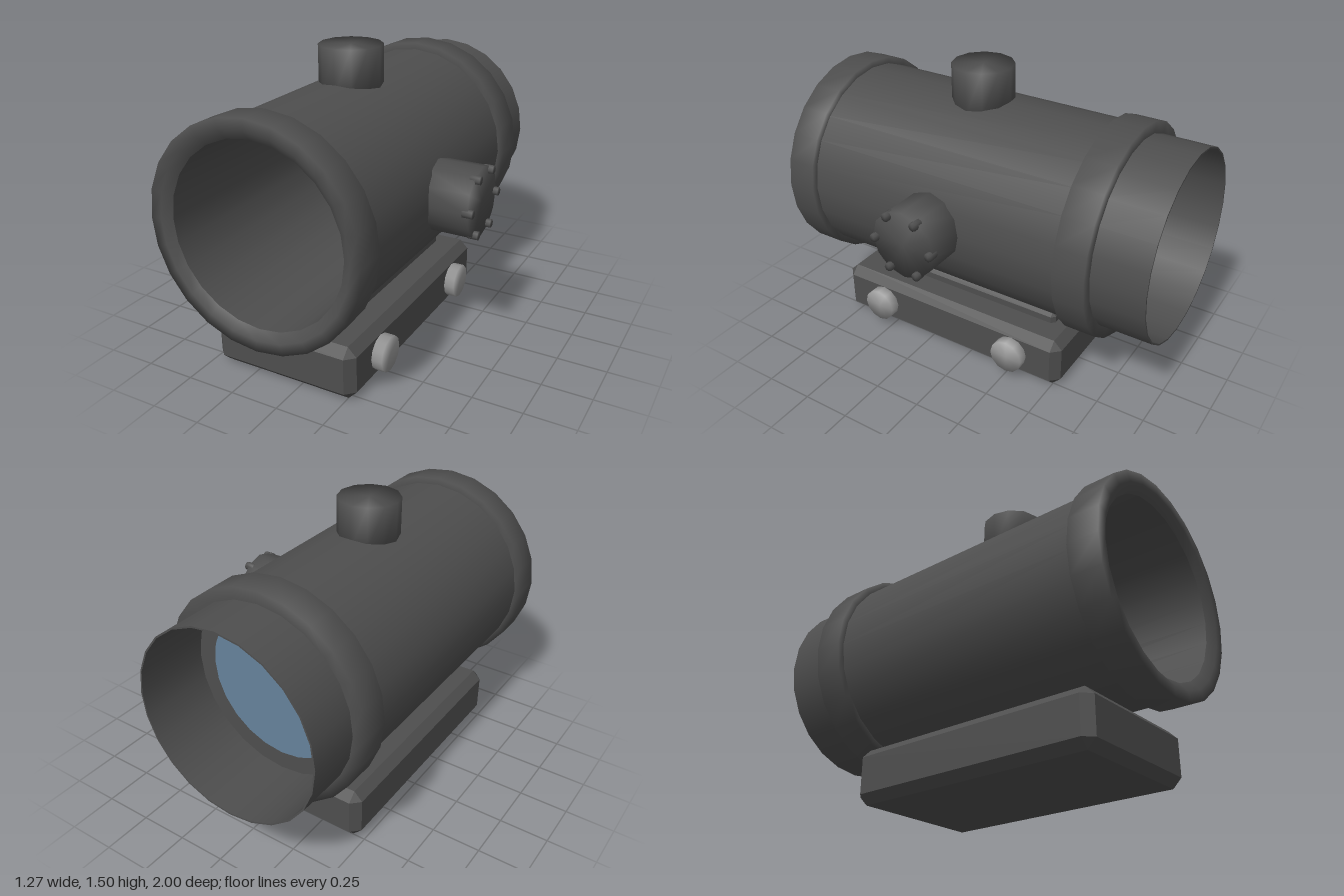
import * as THREE from 'three';
import { mergeVertices } from 'three/addons/utils/BufferGeometryUtils.js';
import { ConvexGeometry } from 'three/addons/geometries/ConvexGeometry.js';

const CX = -0.09, CY = 0.82; // optical axis
const KNOB_Z = 0.135;

export function createModel() {
  const model = new THREE.Group();
  const darkMetal = new THREE.MeshStandardMaterial({ color: 0x4e4e4e });
  const boltMetal = new THREE.MeshStandardMaterial({ color: 0x9a9a9a });
  const lensGlass = new THREE.MeshStandardMaterial({ color: 0x65829a, side: THREE.DoubleSide });

  const add = (name, geometry, material, x, y, z) => {
    const mesh = new THREE.Mesh(geometry, material);
    mesh.name = name;
    mesh.position.set(x, y, z);
    model.add(mesh);
    return mesh;
  };

  // Surface turned about the optical axis from [radius, z] points
  const turned = (name, points) => {
    const g = new THREE.LatheGeometry(points.map(([r, z]) => new THREE.Vector2(r, z)), 24);
    return add(name, g.rotateX(Math.PI / 2), darkMetal, CX, CY, 0);
  };

  // Cylinder with normals blended over its rim
  const softCylinder = (radius, length, sides) => {
    const g = new THREE.CylinderGeometry(radius, radius, length, sides);
    g.deleteAttribute('uv');
    g.deleteAttribute('normal');
    const merged = mergeVertices(g, 1e-4);
    merged.computeVertexNormals();
    return merged;
  };

  // Box with every edge chamfered by c
  const chamferBox = (w, h, d, c) => {
    const points = [];
    for (const sx of [-1, 1]) for (const sy of [-1, 1]) for (const sz of [-1, 1]) {
      const x = sx * w / 2, y = sy * h / 2, z = sz * d / 2;
      points.push(
        new THREE.Vector3(x, y - sy * c, z - sz * c),
        new THREE.Vector3(x - sx * c, y, z - sz * c),
        new THREE.Vector3(x - sx * c, y - sy * c, z));
    }
    return new ConvexGeometry(points);
  };

  // Main tube, outside and inside
  turned('tubeOuterWall', [[0.51, -0.6], [0.51, 0.87]]);
  turned('tubeInnerWall', [[0.445, 0.97], [0.445, -0.61]]);

  // Collars
  turned('frontCollar', [[0.5, 0.845], [0.545, 0.845], [0.545, 1], [0.49, 1], [0.445, 0.965]]);
  turned('rearCollar', [[0.48, -0.73], [0.545, -0.73], [0.545, -0.57], [0.505, -0.57]]);

  // Rear eyepiece cup with thin rim and inner step
  turned('eyepieceOuterWall', [[0.485, -1], [0.485, -0.7]]);
  turned('eyepieceInnerWall', [[0.477, -0.61], [0.477, -1]]);
  turned('eyepieceRim', [[0.477, -1], [0.485, -1]]);
  turned('lensRetainer', [[0.385, -0.61], [0.477, -0.61]]);
  add('lens', new THREE.CircleGeometry(0.385, 24), lensGlass, CX, CY, -0.61);

  // Adjustment knobs
  add('topKnob', softCylinder(0.158, 0.22, 12), darkMetal, CX, 1.39, KNOB_Z);
  add('sideKnob', softCylinder(0.178, 0.25, 12), darkMetal, 0.487, CY, KNOB_Z)
    .rotation.z = -Math.PI / 2;

  // Six small screws around the side knob face
  for (let i = 0; i < 6; i++) {
    const a = i * Math.PI / 3;
    add('knobScrew', softCylinder(0.022, 0.05, 8), darkMetal,
      0.61, CY + 0.16 * Math.sin(a), KNOB_Z + 0.16 * Math.cos(a)).rotation.z = -Math.PI / 2;
  }

  // Mount: rail under the tube and chamfered base block
  add('mountRail', chamferBox(0.455, 0.09, 1.14, 0.02), darkMetal, -0.0925, 0.285, 0.14);
  add('mountBase', chamferBox(0.775, 0.275, 1.36, 0.045), darkMetal, -0.0925, 0.1375, 0.14);

  // Clamp bolts
  for (const z of [0.55, -0.27]) {
    add('clampBolt', softCylinder(0.09, 0.08, 12), boltMetal, 0.31, 0.14, z)
      .rotation.z = -Math.PI / 2;
  }

  return model;
}
